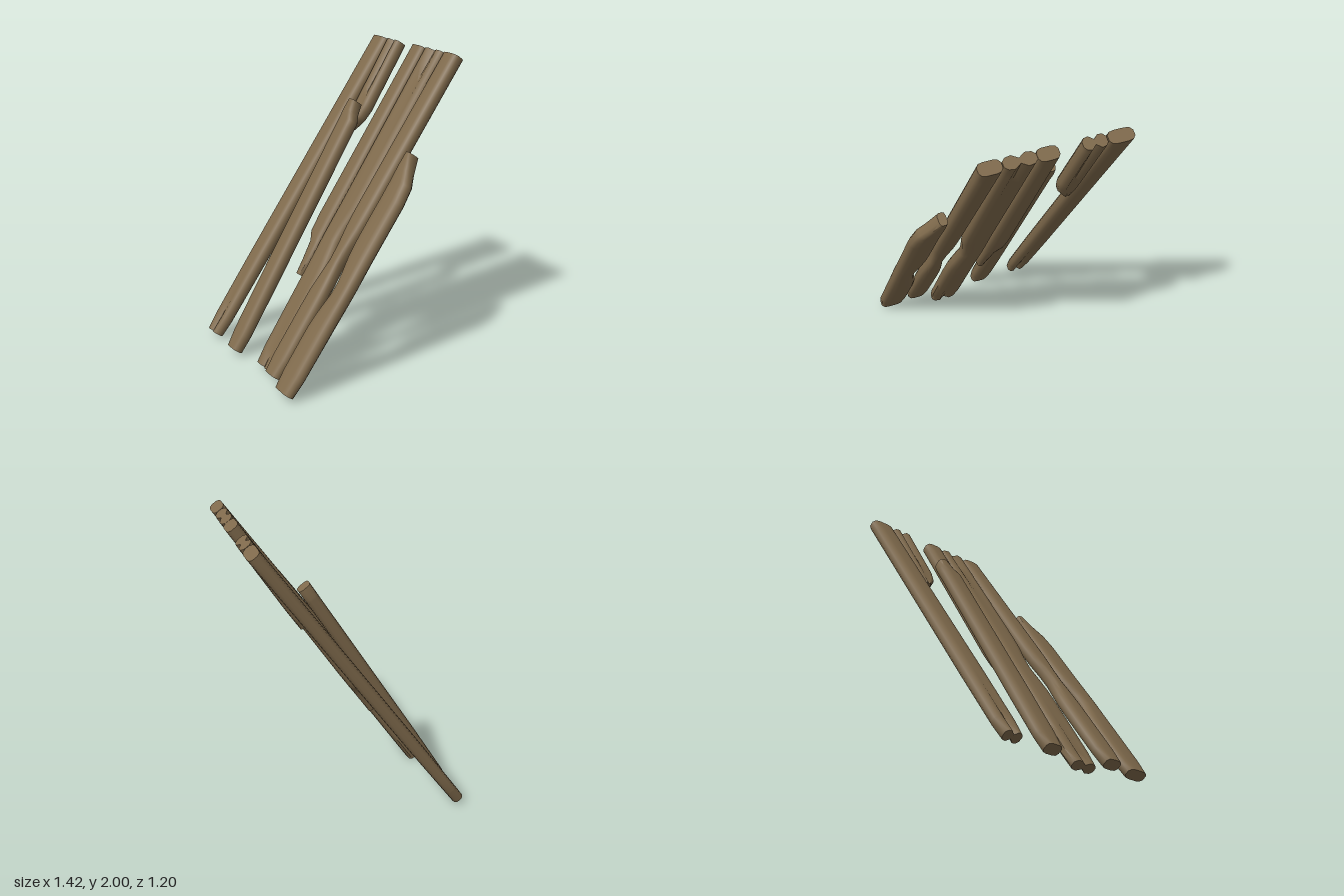
import * as THREE from 'three';
import { toCreasedNormals } from 'three/addons/utils/BufferGeometryUtils.js';

// Half-outline of a log's cross-section: u across the width, v through the thickness
const UPPER = [[-1, 0.42], [-0.78, 0.88], [-0.4, 1], [0, 1], [0.4, 1], [0.78, 0.88], [1, 0.42]];
const OUTLINE = [...UPPER, ...UPPER.map(([u, v]) => [-u, -v])];
const NORMAL = [-0.822, 0.57]; // thickness direction in the xy plane
const SAWN = [[0, 0.017, 0.017], [0.1, 0, 0]]; // slightly tapered end
const { lerp } = THREE.MathUtils;

// Inset of one edge (1 = low z, 2 = high z) at a height above or below a shaped end
function inset(tip, distance, edge) {
  for (let i = 1; i < tip.length; i++) {
    const a = tip[i - 1], b = tip[i];
    if (distance <= b[0]) return lerp(a[edge], b[edge], (distance - a[0]) / (b[0] - a[0]));
  }
  return 0;
}

// Loft the cross-section along a log.
// from, to: axis ends [x, y]; zFrom, zTo: [low z, high z] at those ends;
// bottom, top: end shapes [distance, low inset, high inset];
// bites: smooth hollows [y, low depth, high depth]; groove: depth at [bottom, top]
function logGeometry({ from, to, zFrom, zTo, bottom = SAWN, top = [], bites = [], groove = [0, 0] }) {
  const n = OUTLINE.length, pos = [], idx = [];
  const heights = [...bottom.map((p) => from[1] + p[0]), ...top.map((p) => to[1] - p[0])];
  for (let i = 0; i <= 20; i++) heights.push(lerp(from[1], to[1], i / 20));
  heights.sort((a, b) => a - b);
  const rows = heights.filter((y, i) => i === 0 || y - heights[i - 1] > 0.002);

  const ring = (y) => {
    const t = (y - from[1]) / (to[1] - from[1]);
    const [low, high] = [1, 2].map((edge) => {
      let cut = inset(bottom, y - from[1], edge) + inset(top, to[1] - y, edge);
      for (const bite of bites) cut += bite[edge] * Math.exp(-(((y - bite[0]) / 0.14) ** 2));
      return lerp(zFrom[edge - 1], zTo[edge - 1], t) + (edge === 1 ? cut : -cut);
    });
    return { x: lerp(from[0], to[0], t), t, mid: (low + high) / 2, half: (high - low) / 2 };
  };

  for (const y of rows) {
    const { x, t, mid, half } = ring(y);
    const thick = 0.038 + 0.005 * Math.min(1, t * 4);
    // grooves fade out away from the ends
    const cut = groove[0] * Math.max(0, 1 - (y - from[1]) / 0.45)
              + groove[1] * Math.max(0, 1 - (to[1] - y) / 0.8);
    for (const [u, v] of OUTLINE) {
      const h = thick * v * (u === 0 ? 1 - cut : 1);
      pos.push(x + NORMAL[0] * h, y + NORMAL[1] * h, mid + u * half);
    }
  }
  const last = rows.length - 1;
  for (let s = 0; s < last; s++) {
    for (let i = 0; i < n; i++) {
      const a = s * n + i, b = s * n + (i + 1) % n;
      idx.push(a, b, a + n, b, b + n, a + n);
    }
  }
  // end caps fan out from a centre point
  for (const s of [0, last]) {
    const { x, mid } = ring(rows[s]), c = pos.length / 3;
    pos.push(x, rows[s], mid);
    for (let i = 0; i < n; i++) {
      const a = s * n + i, b = s * n + (i + 1) % n;
      if (s) idx.push(c, a, b); else idx.push(c, b, a);
    }
  }
  const geo = new THREE.BufferGeometry();
  geo.setAttribute('position', new THREE.Float32BufferAttribute(pos, 3));
  geo.setIndex(idx);
  return toCreasedNormals(geo, 0.9);
}

export function createModel() {
  const group = new THREE.Group();
  group.name = 'leaningLogs';
  const wood = new THREE.MeshStandardMaterial({ color: 0x7f6a4c });
  wood.name = 'weathered wood';
  const foot = [-0.68, 0.04], head = [0.675, 1.975];
  const addLog = (name, shape) => {
    const mesh = new THREE.Mesh(logGeometry(shape), wood);
    mesh.name = name;
    group.add(mesh);
  };

  // full-length logs
  addLog('backLog', { from: foot, to: head, zFrom: [-0.6, -0.438], zTo: [-0.6, -0.43], groove: [0.6, 0] });
  addLog('groovedLog', {
    from: [-0.61, 0.025], to: head, zFrom: [0.01, 0.226], zTo: [0.022, 0.23],
    bites: [[0.83, 0, 0.045]], groove: [0.6, 0.6],
  });
  addLog('waistedLog', {
    from: [-0.66, 0.07], to: head, zFrom: [0.235, 0.395], zTo: [0.235, 0.383],
    bites: [[0.76, 0.04, 0.025]],
  });

  // logs broken off at the top
  addLog('frontShortLog', {
    from: foot, to: [0.28, 1.41], zFrom: [0.405, 0.6], zTo: [0.405, 0.6], bites: [[0.63, 0.052, 0]],
    top: [[0, 0.01, 0.13], [0.09, 0, 0.075], [0.16, 0, 0.02], [0.26, 0, 0]],
  });
  addLog('lowerBrokenLog', {
    from: foot, to: [0.295, 1.615], zFrom: [-0.285, -0.13], zTo: [-0.311, -0.158],
    top: [[0, 0.013, 0.067], [0.065, 0, 0.042], [0.115, 0, 0]],
  });

  // logs broken off at the bottom
  addLog('upperBrokenLog', {
    from: [-0.26, 0.545], to: head, zFrom: [-0.16, 0.005], zTo: [-0.117, 0.02],
    bottom: [[0, 0.105, 0.015], [0.08, 0.09, 0], [0.195, 0.063, 0], [0.245, 0.012, 0], [0.35, 0, 0]],
  });
  addLog('topStubLog', {
    from: [0.32, 1.41], to: head, zFrom: [-0.412, -0.263], zTo: [-0.423, -0.266], groove: [0, 0.6],
    bottom: [[0, 0.022, 0.082], [0.07, 0.002, 0.02], [0.14, 0, 0]],
  });
  return group;
}
